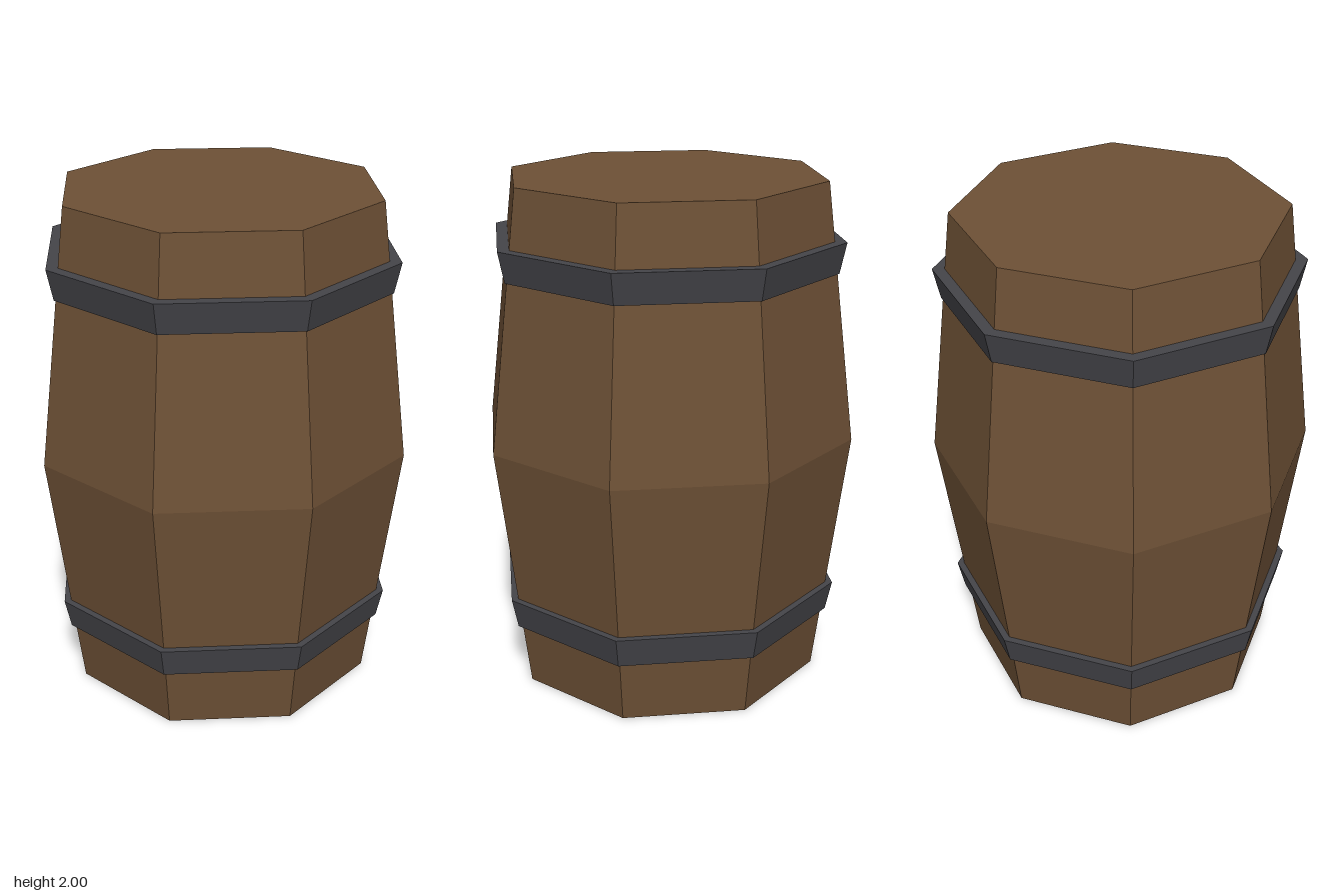
import * as THREE from 'three';

const SIDES = 8;

// Eight-sided turned part from [radius, height] pairs, listed bottom to top
function turned(name, profile, material) {
  const points = profile.map(([r, y]) => new THREE.Vector2(r, y));
  const mesh = new THREE.Mesh(new THREE.LatheGeometry(points, SIDES), material);
  mesh.name = name;
  return mesh;
}

export function createModel() {
  const wood = new THREE.MeshStandardMaterial({ color: 0x6e5136, flatShading: true });
  wood.name = 'brown wood';
  const iron = new THREE.MeshStandardMaterial({ color: 0x45454a, flatShading: true });
  iron.name = 'dark iron';

  const group = new THREE.Group();
  group.name = 'barrel';

  // Closed wooden body, widest at mid height
  group.add(turned('barrelBody', [[0, 0], [0.625, 0], [0.75, 1], [0.625, 2], [0, 2]], wood));

  // Two identical hoops, flared towards the top, with inner edges sunk into the wood
  for (const [name, y] of [['lowerHoop', 0.255], ['upperHoop', 1.655]]) {
    const top = 0.12;
    const hoop = turned(name, [[0.6, 0], [0.675, 0], [0.7, top], [0.6, top], [0.6, 0]], iron);
    hoop.position.y = y;
    group.add(hoop);
  }
  return group;
}
